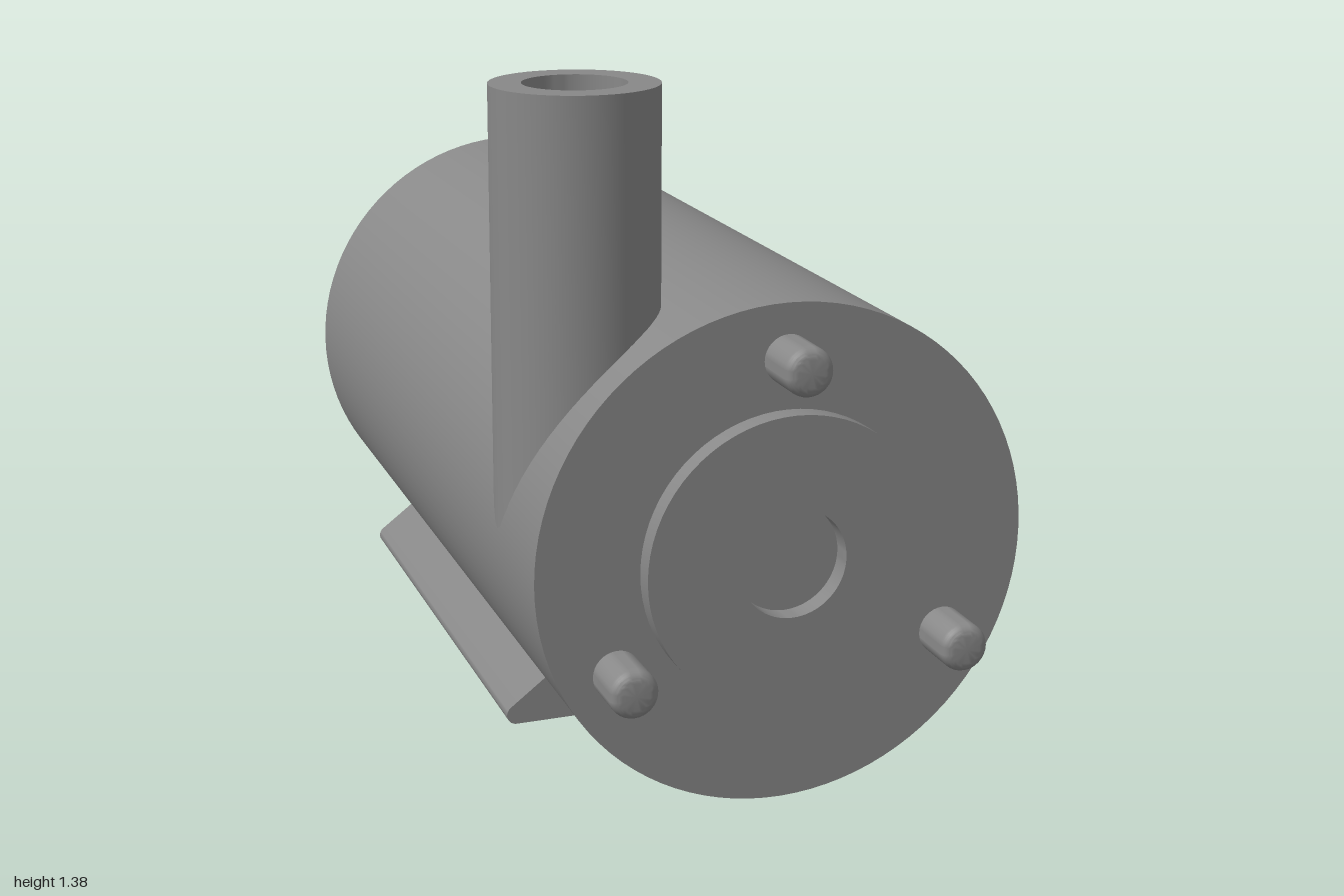
import * as THREE from 'three';
import { toCreasedNormals } from 'three/addons/utils/BufferGeometryUtils.js';

const material = new THREE.MeshStandardMaterial({ color: 0x888888 });
const CY = 0.497; // height of the drum axis
const R = 0.495;

// Points of a quarter-round corner, from angle a0 to a1
function arc(cx, cy, r, a0, a1, n = 6) {
  return Array.from({ length: n + 1 }, (_, i) => {
    const a = a0 + ((a1 - a0) * i) / n;
    return [cx + r * Math.cos(a), cy + r * Math.sin(a)];
  });
}

// Surface of revolution about y, profile given as [radius, height]
function turned(profile, segments) {
  const pts = profile.map(([r, h]) => new THREE.Vector2(Math.max(r, 0), h));
  return toCreasedNormals(new THREE.LatheGeometry(pts, segments), 0.5);
}

export function createModel() {
  const model = new THREE.Group();
  const add = (name, geometry, x, y, z) => {
    const mesh = new THREE.Mesh(geometry, material);
    mesh.name = name;
    mesh.position.set(x, y, z);
    model.add(mesh);
  };
  const H = Math.PI / 2;

  // Drum with a rolled back cap set inside a thin rim
  add('drum', turned([
    [0, -0.95], ...arc(0.415, -0.905, 0.045, -H, 0),
    [0.468, -0.905], [0.468, -0.955], [R, -0.955], [R, 0.89], [0, 0.89],
  ], 96).rotateX(H), 0, CY, 0);

  // Raised flange around the shallow front socket
  add('frontFlange', turned([
    [0.108, 0], [0.29, 0], [0.29, 0.042], [0.108, 0.042], [0.108, 0],
  ], 72).rotateX(H), 0, CY, 0.89);

  // Three studs with rounded ends
  const stud = turned([
    [0, 0], [0.048, 0], ...arc(0.027, 0.089, 0.021, 0, H), [0, 0.11],
  ], 32).rotateX(H);
  for (let i = 0; i < 3; i++) {
    const a = H + (i * Math.PI * 2) / 3;
    add('stud', stud, 0.387 * Math.cos(a), CY + 0.387 * Math.sin(a), 0.89);
  }

  // Hollow upright pipe, tangent to the drum's side
  add('outletPipe', turned([
    [0, 0], [0.161, 0], [0.161, 0.882], [0.099, 0.882], [0.099, 0.02], [0, 0.02],
  ], 64), -0.333, CY, 0.645);

  // Rounded ring near the bottom of the back cap
  add('drainRing', turned([
    [0, 0], [0.118, 0], ...arc(0.1, 0.032, 0.018, 0, H),
    [0.078, 0.05], [0.078, 0.02], [0, 0.02],
  ], 48).rotateX(-H), 0, 0.26, -0.95);

  // Foot: wedge section with rounded toes, extruded along the drum
  const section = new THREE.Shape();
  section.moveTo(-0.39, 0);
  section.lineTo(0.39, 0);
  section.absarc(0.39, 0.021, 0.021, -H, 0.95, false);
  section.lineTo(0.305, 0.112);
  section.lineTo(-0.305, 0.112);
  section.absarc(-0.39, 0.021, 0.021, Math.PI - 0.95, Math.PI + H, false);
  const foot = new THREE.ExtrudeGeometry(section, {
    depth: 1.163, bevelEnabled: false, curveSegments: 10,
  });
  add('foot', toCreasedNormals(foot, 0.5), 0, 0, -0.763);

  return model;
}
